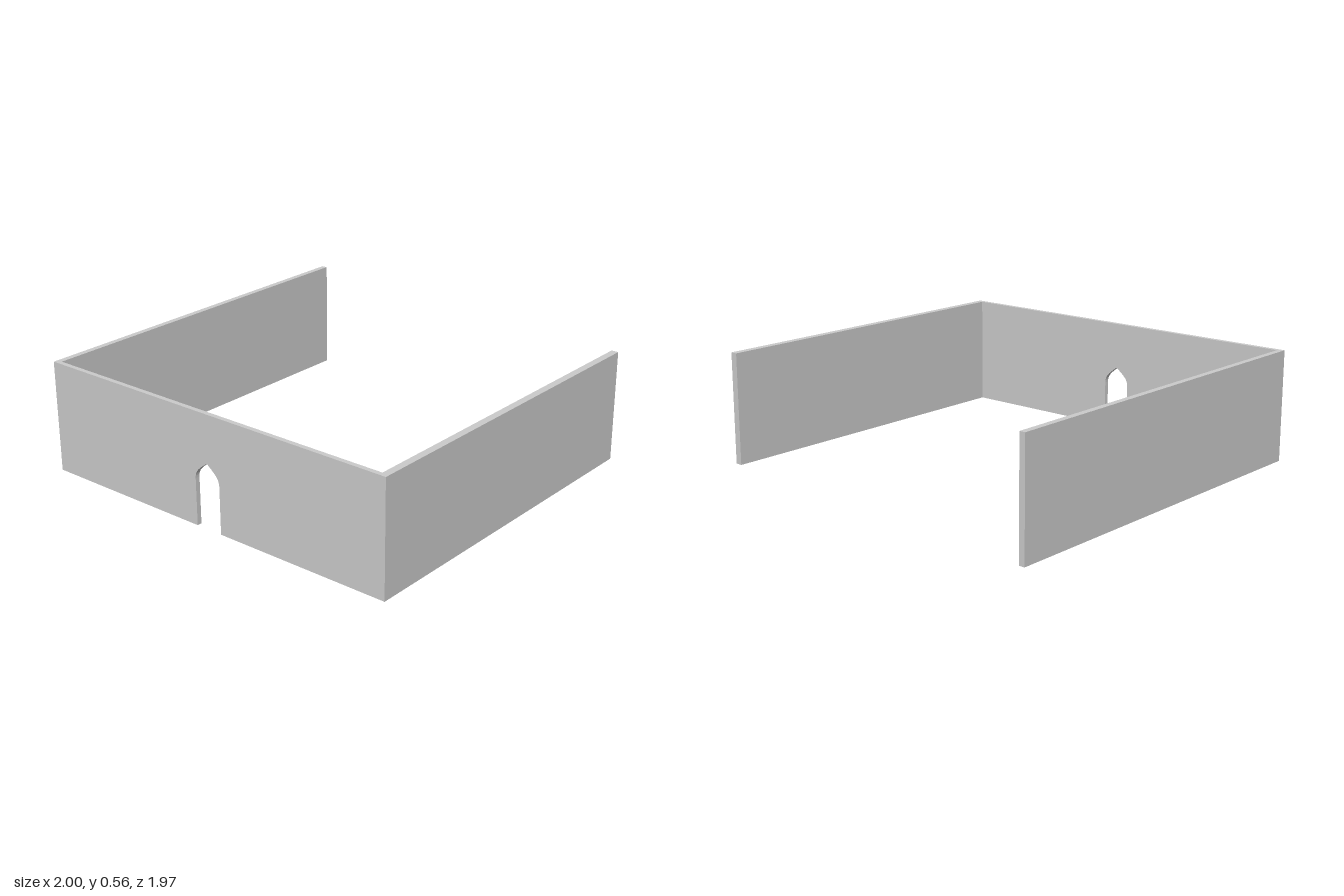
import * as THREE from 'three';

const HEIGHT = 0.565, FRONT = 0.983, INNER = 0.959;

export function createModel() {
  const group = new THREE.Group();
  group.name = 'courtyardWalls';
  const material = new THREE.MeshStandardMaterial({ color: 0xcccccc, flatShading: true });

  function add(name, geometry) {
    const mesh = new THREE.Mesh(geometry, material);
    mesh.name = name;
    group.add(mesh);
    return mesh;
  }

  // Front wall with a pointed-arch doorway open at the ground
  const half = 0.073, spring = 0.235, apex = 0.327;
  const wall = new THREE.Shape();
  wall.moveTo(-1, 0);
  wall.lineTo(-half, 0);
  wall.lineTo(-half, spring);
  wall.bezierCurveTo(-half, 0.272, -0.052, 0.288, 0, apex);
  wall.bezierCurveTo(0.052, 0.288, half, 0.272, half, spring);
  wall.lineTo(half, 0);
  wall.lineTo(1, 0);
  wall.lineTo(1, HEIGHT);
  wall.lineTo(-1, HEIGHT);
  wall.closePath();
  const front = new THREE.ExtrudeGeometry(wall, {
    depth: FRONT - INNER, bevelEnabled: false, curveSegments: 8,
  });
  add('frontWall', front).position.z = INNER;

  // Side walls of unequal length, butted against the front wall
  function sideWall(name, side, thickness, backZ) {
    const length = INNER - backZ;
    add(name, new THREE.BoxGeometry(thickness, HEIGHT, length))
      .position.set(side * (1 - thickness / 2), HEIGHT / 2, backZ + length / 2);
  }
  sideWall('rightWall', -1, 0.03, -0.983);
  sideWall('leftWall', 1, 0.036, -0.83);

  return group;
}
